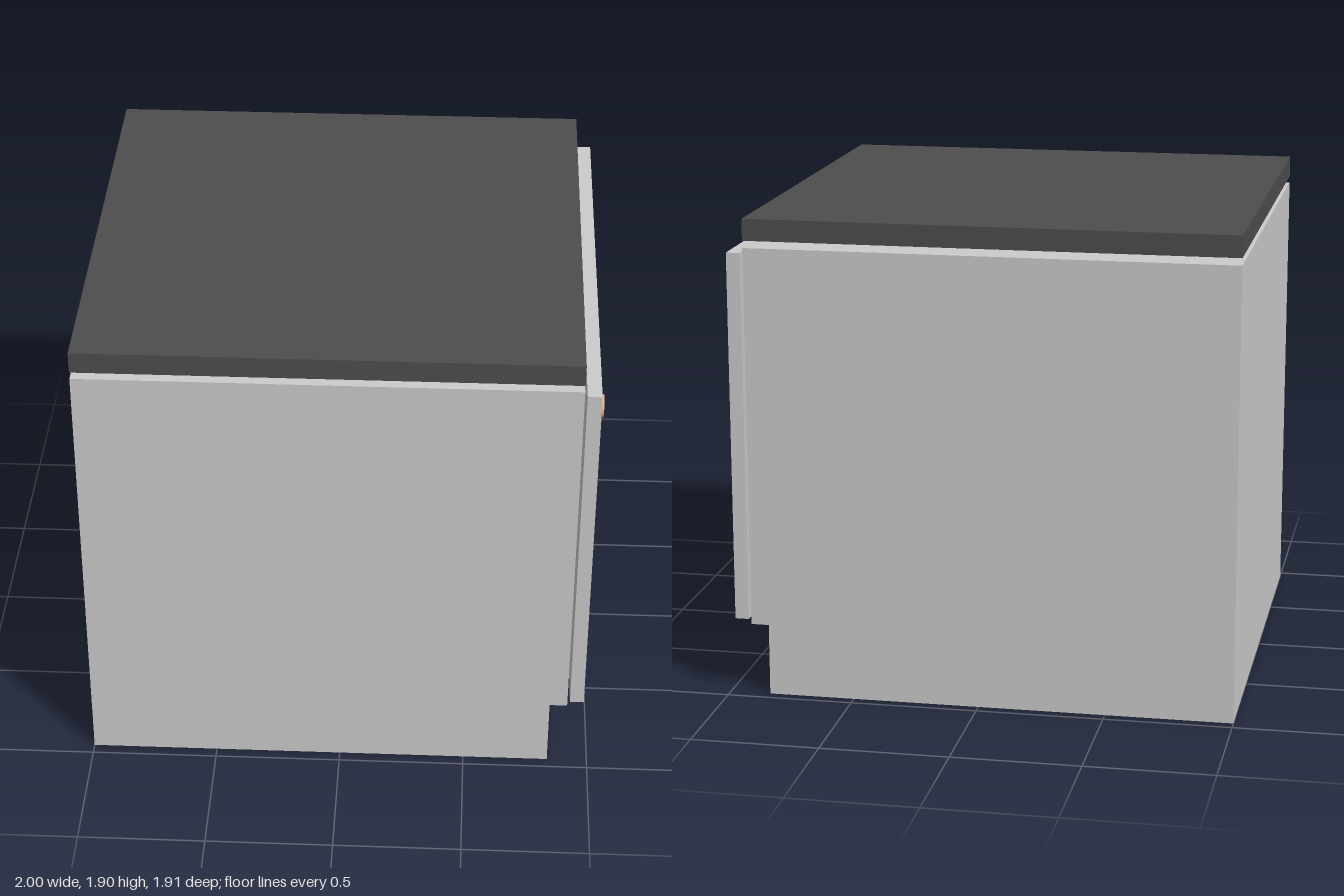
import * as THREE from 'three';

const DEPTH = 1.91;

function part(name, geometry, color) {
  const mesh = new THREE.Mesh(geometry, new THREE.MeshStandardMaterial({ color }));
  mesh.name = name;
  return mesh;
}

// Full-depth panel given by its x and y limits
function panel(name, x0, x1, y0, y1, color) {
  const mesh = part(name, new THREE.BoxGeometry(x1 - x0, y1 - y0, DEPTH), color);
  mesh.position.set((x0 + x1) / 2, (y0 + y1) / 2, 0);
  return mesh;
}

export function createModel() {
  const cabinet = new THREE.Group();
  cabinet.name = 'baseCabinet';

  // Body with a recessed toe kick, extruded along the depth
  const outline = new THREE.Shape([
    [-1, 0], [0.84, 0], [0.84, 0.285], [0.91, 0.285], [0.91, 1.79], [-1, 1.79],
  ].map(([x, y]) => new THREE.Vector2(x, y)));
  const bodyGeometry = new THREE.ExtrudeGeometry(outline, { depth: DEPTH, bevelEnabled: false });
  bodyGeometry.translate(0, 0, -DEPTH / 2);
  cabinet.add(part('carcass', bodyGeometry, 0xcccccc));

  // Door and worktop, each set off from the body by a narrow gap
  cabinet.add(panel('door', 0.92, 0.975, 0.305, 1.77, 0xcccccc));
  cabinet.add(panel('countertop', -1, 0.91, 1.818, 1.903, 0x4d4d4d));

  // Round door knob
  const knob = part('knob', new THREE.CylinderGeometry(0.045, 0.045, 0.025, 32), 0xe5ad80);
  knob.rotation.z = -Math.PI / 2;
  knob.position.set(0.9875, 1.527, 0.65);
  cabinet.add(knob);

  return cabinet;
}
